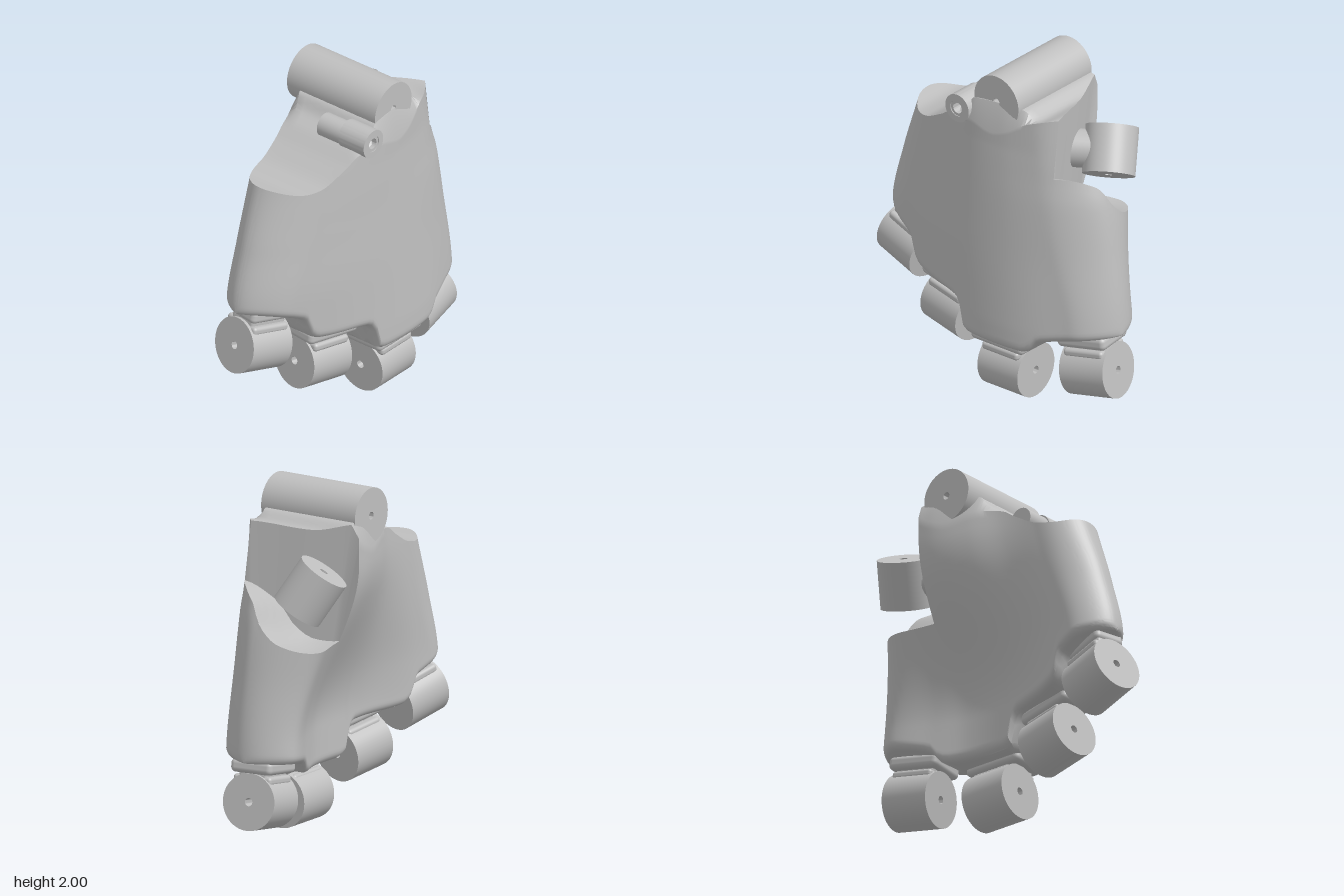
import * as THREE from 'three';
import { toCreasedNormals } from 'three/addons/utils/BufferGeometryUtils.js';
import { RoundedBoxGeometry } from 'three/addons/geometries/RoundedBoxGeometry.js';

const grey = new THREE.MeshStandardMaterial({ color: 0xbfbfbf });
grey.name = 'grey';

const { lerp, clamp, smoothstep } = THREE.MathUtils;

// Curve through [x, y] points: without overshoot, or rounder when soft
function curve(p, soft = false) {
  const d = (i) => (p[i + 1][1] - p[i][1]) / (p[i + 1][0] - p[i][0]);
  const slope = p.map((_, i) => {
    if (i === 0) return soft ? d(0) : 0;
    if (i === p.length - 1) return soft ? d(i - 1) : 0;
    const a = d(i - 1), b = d(i);
    if (soft) return (a + b) / 2;
    return a * b <= 0 ? 0 : (2 * a * b) / (a + b);
  });
  return (x) => {
    if (x <= p[0][0]) return p[0][1];
    if (x >= p[p.length - 1][0]) return p[p.length - 1][1];
    let i = 0;
    while (x > p[i + 1][0]) i++;
    const h = p[i + 1][0] - p[i][0], t = (x - p[i][0]) / h, t2 = t * t, t3 = t2 * t;
    return p[i][1] * (2 * t3 - 3 * t2 + 1) + slope[i] * h * (t3 - 2 * t2 + t)
      + p[i + 1][1] * (3 * t2 - 2 * t3) + slope[i + 1] * h * (t3 - t2);
  };
}

// Palm outline: sides by height, wrist and stepped knuckle edges by x
const leftEdge = curve([[0.4, -0.835], [0.84, -0.825], [1.2, -0.738], [1.56, -0.612], [1.9, -0.5]]);
const rightEdge = curve([[0.3, 0.865], [0.5, 0.86], [1, 0.8], [1.3, 0.75], [1.45, 0.7], [1.9, 0.62]]);
const wristLeft = [[-0.7, 1.58], [-0.61, 1.56], [-0.5, 1.54], [-0.4, 1.555], [-0.25, 1.63]];
// The rim is cut away around the hinge ends and rises to the hinge between them
const wristRim = curve([...wristLeft, [-0.15, 1.69], [0, 1.71], [0.16, 1.67], [0.26, 1.7], [0.34, 1.75],
  [0.42, 1.785], [0.54, 1.81]]);
const wristMiddle = curve([...wristLeft, [-0.15, 1.7], [-0.06, 1.75], [0, 1.82], [0.16, 1.84], [0.33, 1.83],
  [0.42, 1.78], [0.54, 1.81]]);
const bottomEdge = curve([[-0.83, 0.83], [-0.52, 0.74], [-0.47, 0.62], [-0.43, 0.59], [-0.1, 0.55], [-0.06, 0.5],
  [-0.03, 0.38], [0.02, 0.36], [0.38, 0.36], [0.43, 0.38], [0.48, 0.44], [0.86, 0.5]]);
// Floor of the thumb pocket by z
const pocketFloor = curve([[-0.4, 1.12], [-0.27, 1.13], [-0.1, 1.18], [0, 1.26], [0.1, 1.4], [0.25, 1.46]]);

// Depth of both faces across the palm, at the knuckles and at the wrist
const stations = [0, 0.1, 0.2, 0.35, 0.5, 0.65, 0.75, 0.9, 1];
const across = (z) => curve(z.map((v, i) => [stations[i], v]), true);
const frontLow = across([0.11, 0.185, 0.25, 0.335, 0.385, 0.395, 0.37, 0.285, 0.23]);
const frontHigh = across([0.2, 0.24, 0.275, 0.33, 0.36, 0.35, 0.325, 0.274, 0.24]);
const backLow = across([-0.17, -0.195, -0.165, -0.07, -0.02, -0.03, -0.09, -0.185, -0.15]);
const backHigh = across([-0.19, -0.2, -0.2, -0.23, -0.305, -0.36, -0.368, -0.375, -0.34]);

function palmGeometry() {
  // Columns across the palm; the doubled column at the pocket wall makes the step
  const columns = [];
  for (let i = 0; i <= 70; i++) columns.push({ q: 1 - Math.cos((i / 70) * Math.PI / 2), pocket: false });
  for (let i = 0; i <= 24; i++) columns.push({ q: Math.sin((i / 24) * Math.PI / 2), pocket: true });
  const wallColumn = columns[71];

  const xAt = (c, back, y) => {
    const wall = back ? 0.33 : 0.54;
    return c.pocket ? lerp(wall, rightEdge(y), c.q) : lerp(leftEdge(y), wall, c.q);
  };
  const zAt = (x, y, back) => {
    const l = leftEdge(y), t = clamp((x - l) / (rightEdge(y) - l), 0, 1);
    const m = back ? smoothstep(y, 0.6, 1.6) : clamp((y - 0.5) / 1.1, 0, 1);
    const z = back ? lerp(backLow(t), backHigh(t), m) : lerp(frontLow(t), frontHigh(t), m);
    // Rounded sides, blunter toward the knuckles
    const width = lerp(0.11, 0.18, smoothstep(y, 0.5, 1.4));
    const mid = lerp(-0.02, 0.05, t), e = Math.min(1, Math.min(t, 1 - t) / width);
    const round = Math.sqrt(1 - (1 - e) ** 2);
    // Fillet along the knuckle edge
    const f = clamp((y - bottomEdge(x)) / 0.05, 0, 1);
    const inset = 0.05 * (1 - Math.sqrt(1 - (1 - f) ** 2));
    const depth = (z - mid) * round;
    return mid + Math.sign(depth) * Math.max(0, Math.abs(depth) - inset);
  };
  const limit = (c, back, top) => {
    let y = top ? 1.5 : 0.5;
    for (let k = 0; k < 6; k++) {
      const x = xAt(c, back, y);
      y = !top ? bottomEdge(x) : c.pocket ? pocketFloor(zAt(x, y, back)) : wristRim(x);
    }
    return y;
  };
  // Lower rows reach the pocket rim, upper rows go on to the wrist edge
  const sheet = (back) => (c, v) => {
    const top = limit(c, back, true);
    const rim = c.pocket ? top : limit(wallColumn, back, true);
    const y = v <= 0.7 ? lerp(limit(c, back, false), rim, (v / 0.7) ** 1.6) : lerp(rim, top, (v - 0.7) / 0.3);
    const x = xAt(c, back, y);
    return [x, y, zAt(x, y, back)];
  };
  const front = sheet(false), back = sheet(true);
  const cap = (v) => (c, w) => {
    const a = front(c, v), b = back(c, v), p = a.map((n, i) => lerp(n, b[i], w));
    if (w > 0 && w < 1) {
      if (v === 0) p[1] = bottomEdge(p[0]);
      else p[1] = c.pocket ? pocketFloor(p[2]) - 0.05 * Math.sin(Math.PI * w) * (1 - c.q) : wristMiddle(p[0]);
    }
    return p;
  };

  const position = [];
  const addGrid = (fn, rows, flip) => {
    const g = columns.map((c) => Array.from({ length: rows + 1 }, (_, j) => fn(c, j / rows)));
    for (let i = 0; i < columns.length - 1; i++) for (let j = 0; j < rows; j++) {
      const a = g[i][j], b = g[i + 1][j], c = g[i + 1][j + 1], d = g[i][j + 1];
      position.push(...(flip ? [a, c, b, a, d, c] : [a, b, c, a, c, d]).flat());
    }
  };
  addGrid(front, 40, false);
  addGrid(back, 40, true);
  addGrid(cap(1), 14, false);
  addGrid(cap(0), 8, true);
  const geo = new THREE.BufferGeometry();
  geo.setAttribute('position', new THREE.Float32BufferAttribute(position, 3));
  return toCreasedNormals(geo, 0.65);
}

function mesh(geo, name, parent, x = 0, y = 0, z = 0) {
  const m = new THREE.Mesh(geo, grey);
  m.name = name;
  m.position.set(x, y, z);
  parent.add(m);
  return m;
}

// Drilled cylinder along z, centred
function barrelGeometry(r, length, hole) {
  const s = new THREE.Shape().absarc(0, 0, r, 0, Math.PI * 2);
  s.holes.push(new THREE.Path().absarc(0, 0, hole, 0, Math.PI * 2, true));
  const geo = new THREE.ExtrudeGeometry(s, { depth: length, bevelEnabled: false, curveSegments: 32 });
  return toCreasedNormals(geo.translate(0, 0, -length / 2), 0.6);
}

// Finger knuckle: barrel across the finger, saddle, neck and flange under the palm
function knuckle(name, center, axis, shift, flangeWidth, flangeDepth) {
  const g = new THREE.Group();
  g.name = name;
  const a = new THREE.Vector3(...axis).normalize();
  const up = new THREE.Vector3(0, 1, 0).addScaledVector(a, -a.y).normalize();
  g.quaternion.setFromRotationMatrix(new THREE.Matrix4().makeBasis(a, up, a.clone().cross(up)));
  g.position.set(...center);
  mesh(barrelGeometry(0.162, 0.29, 0.023), 'barrel', g).rotation.y = Math.PI / 2;
  mesh(new RoundedBoxGeometry(0.26, 0.05, 0.24, 3, 0.02), 'saddle', g, 0, 0.125, shift * 0.6);
  mesh(new RoundedBoxGeometry(0.25, 0.14, 0.18, 3, 0.02), 'neck', g, 0, 0.17, shift);
  mesh(new RoundedBoxGeometry(flangeWidth, 0.08, flangeDepth, 4, 0.03), 'flange', g, 0, 0.2, shift);
  return g;
}

export function createModel() {
  const model = new THREE.Group();
  model.name = 'mechanicalPalm';
  mesh(palmGeometry(), 'palm', model);

  // Wrist hinge and the small boss beside it
  mesh(barrelGeometry(0.16, 0.64, 0.022), 'wristBarrel', model, 0.16, 1.84, -0.01);
  mesh(barrelGeometry(0.085, 0.185, 0.048), 'bossFront', model, -0.08, 1.745, 0.273);
  mesh(barrelGeometry(0.048, 0.175, 0.032), 'bossBush', model, -0.08, 1.745, 0.273);
  mesh(new THREE.CylinderGeometry(0.07, 0.07, 0.28, 40), 'bossBack', model, -0.09, 1.745, 0.16)
    .rotation.x = Math.PI / 2;

  model.add(
    knuckle('indexKnuckle', [0.68, 0.248, 0.06], [0.98, 0.16, -0.13], 0.0, 0.32, 0.26),
    knuckle('middleKnuckle', [0.185, 0.162, 0.17], [1, 0, 0], 0.05, 0.38, 0.26),
    knuckle('ringKnuckle', [-0.285, 0.355, 0.1], [0.98, -0.14, 0.13], 0.03, 0.37, 0.24),
    knuckle('littleKnuckle', [-0.685, 0.59, 0.0], [0.95, -0.23, 0.17], 0.0, 0.27, 0.2),
  );

  // Thumb joint in the pocket
  const thumb = new THREE.Group();
  thumb.name = 'thumbJoint';
  thumb.position.set(0.565, 1.47, -0.2);
  const zAxis = new THREE.Vector3(0, 0, 1), yAxis = new THREE.Vector3(0, 1, 0);
  const axis = new THREE.Vector3(0.08, -0.23, 0.13).normalize();
  mesh(barrelGeometry(0.15, 0.275, 0.023), 'thumbBarrel', thumb).quaternion.setFromUnitVectors(zAxis, axis);
  const dir = new THREE.Vector3(-0.8, 0.02, 0.5).normalize();
  const stem = mesh(new THREE.CylinderGeometry(0.11, 0.11, 0.2, 32), 'thumbStem', thumb);
  stem.position.copy(dir).multiplyScalar(0.12);
  stem.quaternion.setFromUnitVectors(yAxis, dir);
  model.add(thumb);
  return model;
}
